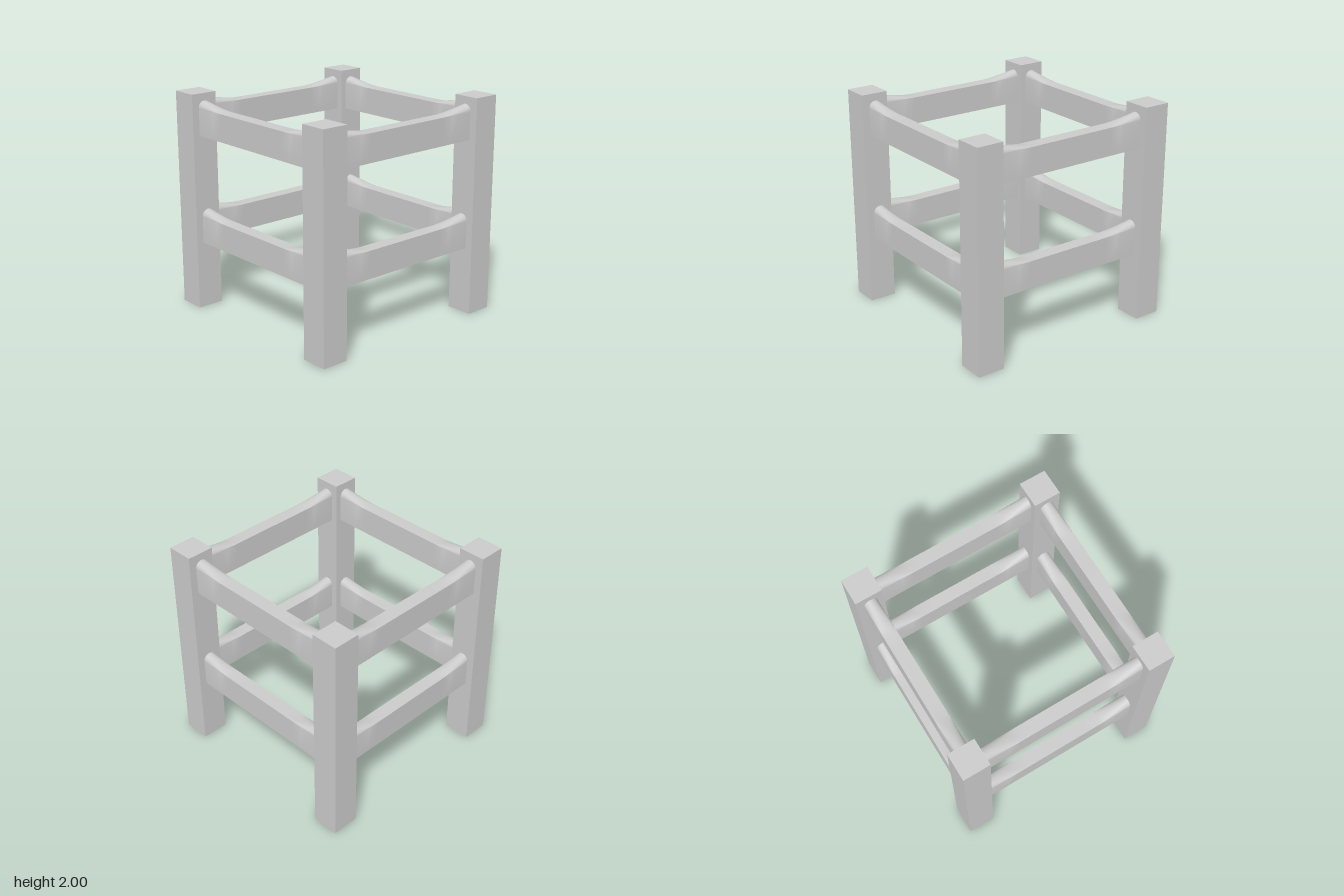
import * as THREE from 'three';
import { toCreasedNormals } from 'three/addons/utils/BufferGeometryUtils.js';

const POST = 0.25;          // square post thickness
const RAIL_H = 0.25;        // rail height, without the raised ends
const RAIL_R = 0.0625;      // half the rail thickness
const RAIL_HALF = 0.75;     // half the rail length
const FLAT_HALF = 0.415;    // half length of the flat middle of the rail top
const RAIL_OFFSET = 0.87;   // rail centre line from the middle

// Rail whose flat top swells to a half-round at both ends
function railGeometry() {
  const geo = new THREE.BoxGeometry(3, RAIL_H, 2, 18, 1, 16);
  const p = geo.attributes.position;
  for (let i = 0; i < p.count; i++) {
    const u = p.getX(i), a = Math.abs(u);
    // the middle third of the segments is flat, the outer thirds rise
    const rise = Math.max(0, a - 0.5);
    const x = a <= 0.5 ? (a / 0.5) * FLAT_HALF : FLAT_HALF + rise * (RAIL_HALF - FLAT_HALF);
    const angle = p.getZ(i) * Math.PI / 2;
    const crown = p.getY(i) > 0 ? rise * RAIL_R * Math.cos(angle) : 0;
    p.setXYZ(i, Math.sign(u) * x, p.getY(i) + crown, RAIL_R * Math.sin(angle));
  }
  return toCreasedNormals(geo, Math.PI / 6);
}

export function createModel() {
  const model = new THREE.Group();
  model.name = 'postAndRailFrame';
  const material = new THREE.MeshStandardMaterial({ color: 0xcccccc });

  // Four corner posts
  const postGeo = new THREE.BoxGeometry(POST, 2, POST);
  const c = 1 - POST / 2;
  for (const [sx, side] of [[1, 'Left'], [-1, 'Right']]) {
    for (const [sz, end] of [[1, 'front'], [-1, 'back']]) {
      const post = new THREE.Mesh(postGeo, material);
      post.name = `${end}${side}Post`;
      post.position.set(sx * c, 1, sz * c);
      model.add(post);
    }
  }

  // Two levels of rails, one on each side
  const railGeo = railGeometry();
  const sides = ['front', 'left', 'back', 'right'];
  for (const [level, y] of [['Lower', 0.745], ['Upper', 1.745]]) {
    sides.forEach((side, i) => {
      const angle = i * Math.PI / 2;
      const rail = new THREE.Mesh(railGeo, material);
      rail.name = `${side}${level}Rail`;
      rail.position.set(Math.sin(angle) * RAIL_OFFSET, y, Math.cos(angle) * RAIL_OFFSET);
      rail.rotation.y = angle;
      model.add(rail);
    });
  }
  return model;
}
